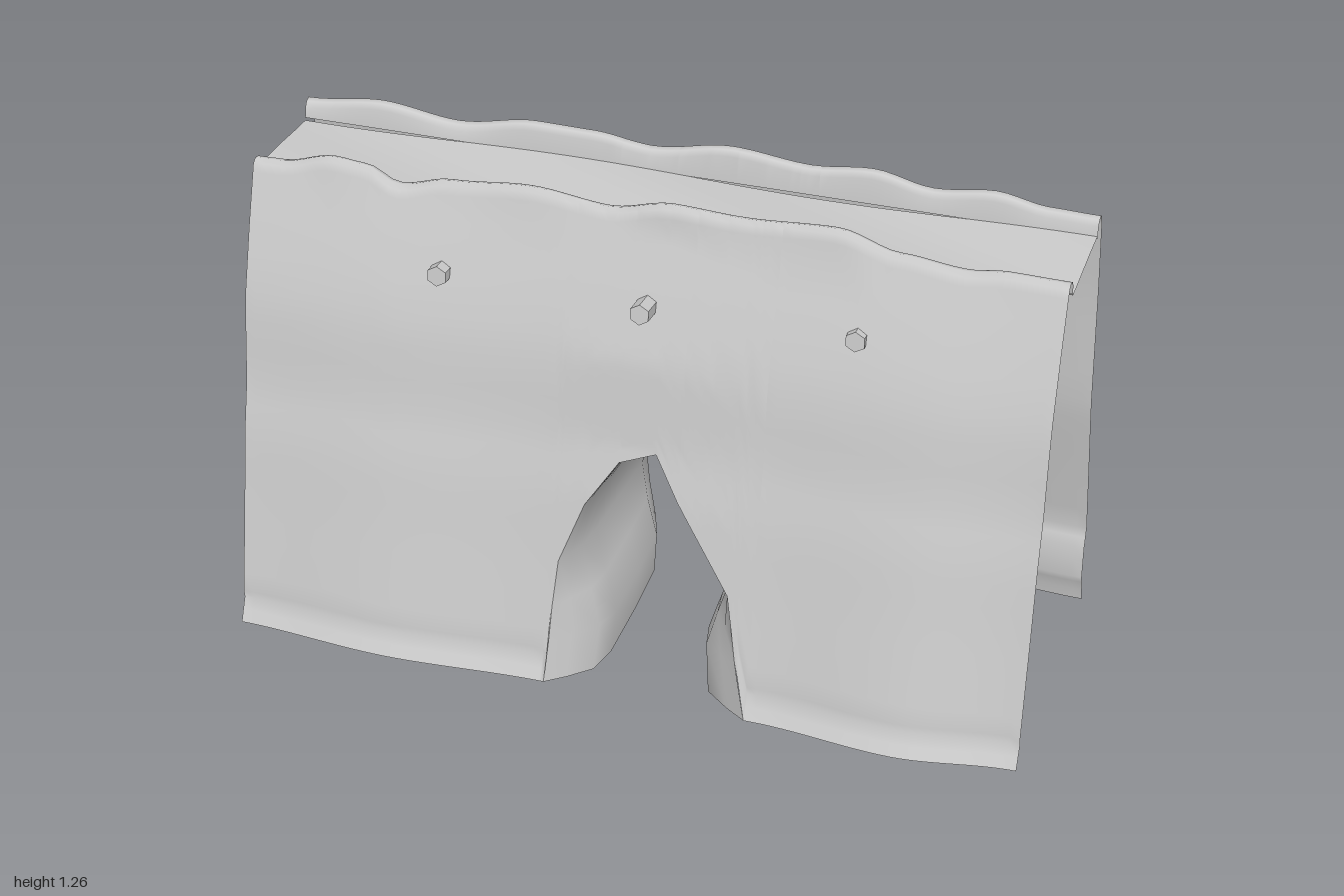
import * as THREE from 'three';

// Piecewise lookup in [[x, value], ...]; smooth eases between the points
function lookup(table, x, smooth = false) {
  if (x <= table[0][0]) return table[0][1];
  for (let i = 1; i < table.length; i++) {
    const [x0, v0] = table[i - 1], [x1, v1] = table[i];
    if (x <= x1) {
      let t = (x - x0) / (x1 - x0);
      if (smooth) t = t * t * (3 - 2 * t);
      return v0 + (v1 - v0) * t;
    }
  }
  return table[table.length - 1][1];
}

// Indexed surface from rows of points
function surface(rows, flip) {
  const n = rows[0].length, index = [];
  for (let i = 0; i < rows.length - 1; i++) {
    for (let j = 0; j < n - 1; j++) {
      const a = i * n + j, b = a + n, c = b + 1, d = a + 1;
      if (flip) index.push(a, d, b, d, c, b);
      else index.push(a, b, d, b, c, d);
    }
  }
  const g = new THREE.BufferGeometry();
  g.setAttribute('position', new THREE.Float32BufferAttribute(rows.flat(2), 3));
  g.setIndex(index);
  g.computeVertexNormals();
  return g;
}

// Arch outline on the wall faces, and the narrower outline inside the passage
const ARCH = [[-0.19, 0.02], [-0.185, 0.12], [-0.18, 0.22], [-0.17, 0.34], [-0.11, 0.5], [-0.03, 0.62],
  [0.06, 0.655], [0.12, 0.55], [0.19, 0.44], [0.26, 0.33], [0.28, 0.22], [0.29, 0.16], [0.325, 0.02]];
const INNER = [[-0.08, 0.0], [-0.07, 0.12], [-0.1, 0.22], [-0.115, 0.33], [-0.08, 0.44], [-0.03, 0.535],
  [0.08, 0.565], [0.12, 0.48], [0.16, 0.4], [0.22, 0.28], [0.2, 0.22], [0.17, 0.12], [0.18, 0.0]];

// Per side: outward profile (height, depth), sway along x, ridge height, inner lip depth
const SIDES = {
  front: {
    sign: 1, inner: 0.066,
    profile: [[0.02, 0.405], [0.08, 0.375], [0.1, 0.378], [0.35, 0.325], [0.53, 0.29], [0.66, 0.255],
      [0.88, 0.222], [1.05, 0.167], [1.2, 0.113]],
    sway: [[-1, -0.035], [-0.6, -0.008], [-0.2, -0.03], [0.35, -0.03], [0.7, 0], [1, -0.04]],
    ridge: [[-1, 1.21], [-0.93, 1.212], [-0.8, 1.242], [-0.72, 1.235], [-0.63, 1.2], [-0.5, 1.228],
      [-0.3, 1.245], [-0.1, 1.225], [0.05, 1.255], [0.22, 1.248], [0.45, 1.26], [0.6, 1.22],
      [0.76, 1.205], [0.85, 1.215], [1, 1.213]],
  },
  back: {
    sign: -1, inner: 0.203,
    profile: [[0.02, 0.412], [0.07, 0.402], [0.1, 0.388], [0.19, 0.388], [0.24, 0.402], [0.42, 0.365],
      [0.65, 0.315], [1, 0.28], [1.2, 0.248]],
    sway: [[-1, -0.01], [-0.25, 0], [0.35, -0.01], [0.6, -0.005], [1, -0.035]],
    ridge: [[-1, 1.212], [-0.8, 1.235], [-0.6, 1.21], [-0.4, 1.242], [-0.25, 1.24], [-0.1, 1.222],
      [0.1, 1.253], [0.3, 1.235], [0.45, 1.25], [0.6, 1.222], [0.75, 1.24], [0.88, 1.218], [1, 1.215]],
  },
};

const wallZ = (s, x, y) =>
  s.sign * (lookup(s.profile, y) + lookup(s.sway, x, true) * Math.max(0, 1 - y / 1.2));

const LEVELS = [0.02, 0.05, 0.08, 0.1, 0.15, 0.19, 0.215, 0.24, 0.3, 0.36, 0.42, 0.48, 0.54, 0.6, 0.66,
  0.74, 0.82, 0.9, 0.98, 1.05, 1.12, 1.18];

// Leaning wall with the arch cut out and a rolled lip at the top
function wallGeometry(s) {
  const xs = new Set(ARCH.map((p) => p[0]));
  for (let i = 0; i <= 80; i++) xs.add(-1 + i / 40);
  const columns = [...xs].sort((a, b) => a - b).map((x) => {
    const bottom = lookup(ARCH, x), top = lookup(s.ridge, x, true), edge = top - 0.03;
    const column = LEVELS.map((level) => {
      const y = bottom + ((level - 0.02) / 1.16) * (edge - bottom);
      return [x, y, wallZ(s, x, y)];
    });
    const outer = Math.abs(wallZ(s, x, edge)), w = outer - s.inner;
    for (const [f, y] of [[0.87, top - 0.009], [0.6, top], [0.3, top - 0.004], [0.1, top - 0.018], [0, 1.168]]) {
      column.push([x, y, s.sign * (s.inner + w * f)]);
    }
    return column;
  });
  return surface(columns, s.sign < 0);
}

// Passage lofted between both arches: [fraction through, low narrowing, high narrowing]
function passageGeometry() {
  const sections = [[0, 0, 0], [0.06, 0.4, 0.1], [0.14, 0.85, 0.2], [0.25, 1, 0.35], [0.5, 1, 0.65],
    [0.72, 0.95, 1], [0.83, 0.7, 0.75], [0.93, 0.25, 0.25], [1, 0, 0]];
  const rows = sections.map(([f, low, high]) => ARCH.map(([ax, ay], i) => {
    const k = THREE.MathUtils.lerp(low, high, THREE.MathUtils.smoothstep(ay, 0.2, 0.5));
    const z = THREE.MathUtils.lerp(wallZ(SIDES.front, ax, ay), wallZ(SIDES.back, ax, ay), f);
    return [ax + (INNER[i][0] - ax) * k, ay + (INNER[i][1] - ay) * k, z];
  }));
  return surface(rows, true);
}

// Slightly uneven walkway between the two lips
function deckGeometry() {
  const rows = [];
  for (let i = 0; i <= 40; i++) {
    const x = -1 + i / 20, row = [];
    for (let j = 0; j <= 6; j++) {
      const t = j / 6;
      row.push([x, 1.172 - 0.005 * t + 0.007 * Math.sin(x * 5 + t * 3), 0.066 - 0.269 * t]);
    }
    rows.push(row);
  }
  return surface(rows, false);
}

export function createModel() {
  const model = new THREE.Group();
  model.name = 'archedWall';
  const shell = new THREE.MeshStandardMaterial({ color: 0xcccccc, side: THREE.DoubleSide });
  const solid = new THREE.MeshStandardMaterial({ color: 0xcccccc, flatShading: true });
  const add = (name, geometry, material = shell) => {
    const mesh = new THREE.Mesh(geometry, material);
    mesh.name = name;
    model.add(mesh);
    return mesh;
  };

  add('frontWall', wallGeometry(SIDES.front));
  add('backWall', wallGeometry(SIDES.back));
  add('archPassage', passageGeometry());
  add('topDeck', deckGeometry());

  // Short hexagonal pegs through both walls: x, z, tilt
  const peg = new THREE.CylinderGeometry(0.026, 0.026, 0.1, 6).rotateX(Math.PI / 2);
  const pegs = {
    frontPeg: [[-0.5, 0.155, -0.1], [0.015, 0.18, -0.12], [0.525, 0.14, -0.08]],
    backPeg: [[-0.5, -0.27, 0.2], [0.015, -0.26, 0.25], [0.525, -0.262, 0.12]],
  };
  for (const [name, list] of Object.entries(pegs)) {
    for (const [x, z, tilt] of list) {
      const mesh = add(name, peg, solid);
      mesh.position.set(x, 1.02, z);
      mesh.rotation.x = tilt;
    }
  }
  return model;
}
